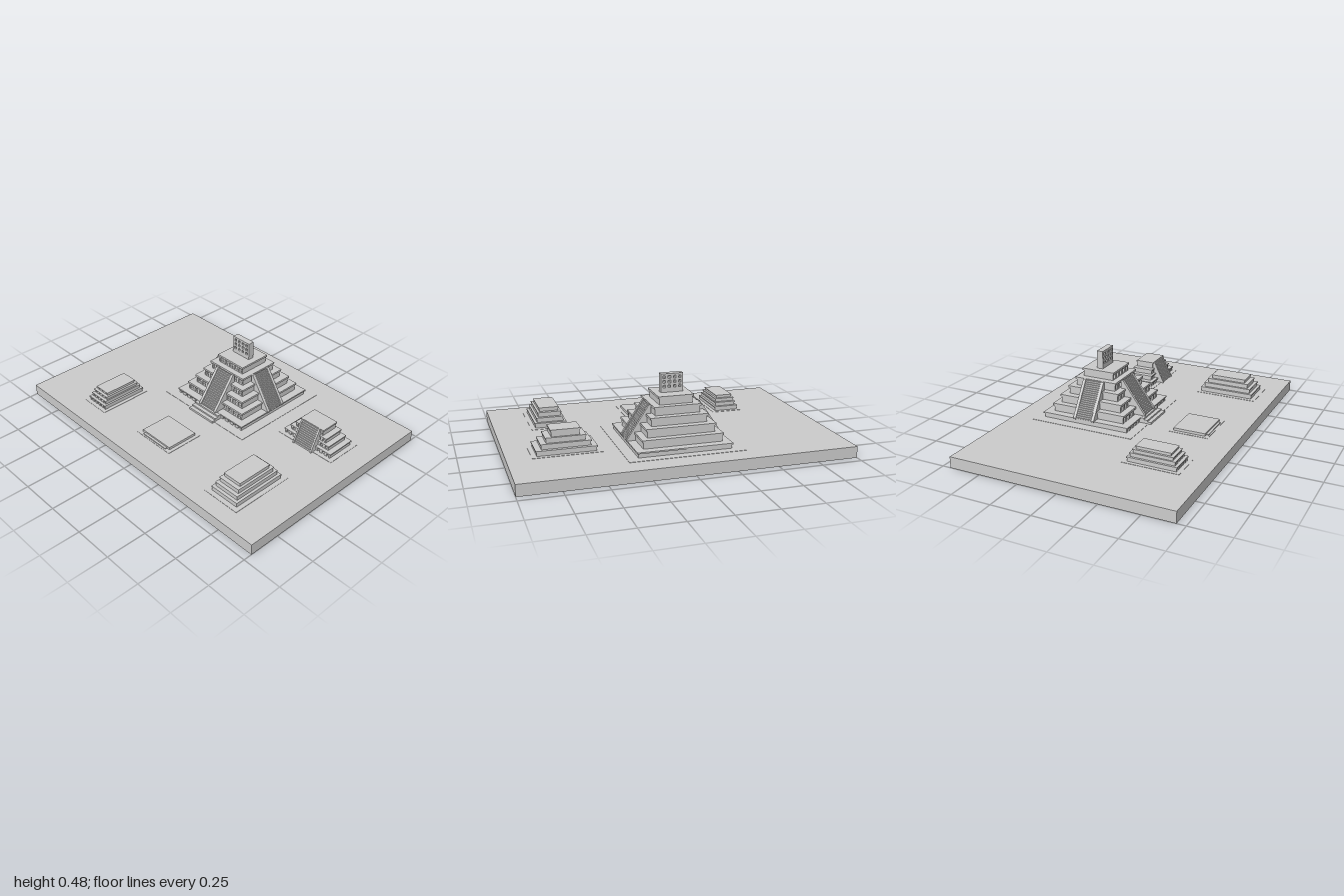
import * as THREE from 'three';

const material = new THREE.MeshStandardMaterial({ color: 0xcccccc, flatShading: true });
const GROUND = 0.07;

function add(parent, name, geometry) {
  const mesh = new THREE.Mesh(geometry, material);
  mesh.name = name;
  parent.add(mesh);
  return mesh;
}

// Box given by its two opposite corners
function block(parent, name, x0, x1, y0, y1, z0, z1) {
  const mesh = add(parent, name, new THREE.BoxGeometry(x1 - x0, y1 - y0, z1 - z0));
  mesh.position.set((x0 + x1) / 2, (y0 + y1) / 2, (z0 + z1) / 2);
  return mesh;
}

function rectangle(hx, y0, y1) {
  return new THREE.Shape([[-hx, y0], [hx, y0], [hx, y1], [-hx, y1]].map(p => new THREE.Vector2(...p)));
}

// Wall pierced by a row of round-headed niches
function arcade(hx, height, spacing, depth) {
  const wall = rectangle(hx, 0, height);
  const count = Math.max(2, Math.round(2 * hx / spacing));
  const pitch = 2 * hx / count;
  const r = Math.min(pitch * 0.3, height * 0.35);
  const spring = height * 0.88 - r;
  for (let i = 0; i < count; i++) {
    const cx = -hx + (i + 0.5) * pitch;
    const hole = new THREE.Path();
    hole.moveTo(cx - r, height * 0.06);
    hole.lineTo(cx + r, height * 0.06);
    hole.lineTo(cx + r, spring);
    hole.absarc(cx, spring, r, 0, Math.PI, false);
    hole.closePath();
    wall.holes.push(hole);
  }
  return new THREE.ExtrudeGeometry(wall, { depth, bevelEnabled: false, curveSegments: 6 });
}

// Stacked terraces: each level is [half width, half depth, top height, niche spacing or 0]
function terraces(name, levels, lip, niche) {
  const group = new THREE.Group();
  group.name = name;
  let y = GROUND;
  for (const [hx, hz, top, spacing] of levels) {
    const bx = hx - lip, bz = hz - lip;
    const cap = (top - y) * 0.24;
    const inset = spacing ? niche : 0;
    block(group, 'terraceBody', -bx, bx, y, top - cap, -bz, bz - inset);
    block(group, 'terraceCornice', -hx, hx, top - cap, top, -hz, hz);
    if (spacing) {
      add(group, 'nicheWall', arcade(bx, top - cap - y, spacing, niche)).position.set(0, y, bz - niche);
    }
    y = top;
  }
  return group;
}

// Staircase climbing toward -z from its foot at the origin, with sloping side walls
function staircase(halfWidth, wall, run, rise, steps) {
  const group = new THREE.Group();
  group.name = 'staircase';
  const profile = new THREE.Shape();
  profile.moveTo(0, 0);
  for (let i = 0; i < steps; i++) {
    profile.lineTo(run * i / steps, rise * (i + 1) / steps);
    profile.lineTo(run * (i + 1) / steps, rise * (i + 1) / steps);
  }
  profile.lineTo(run, 0);
  const flank = new THREE.Shape();
  flank.moveTo(-0.006, 0);
  flank.lineTo(-0.006, 0.008);
  flank.lineTo(run - 0.006, rise + 0.003);
  flank.lineTo(run + 0.006, rise + 0.003);
  flank.lineTo(run + 0.006, 0);
  const slab = (name, shape, depth, x) => {
    const geometry = new THREE.ExtrudeGeometry(shape, { depth, bevelEnabled: false });
    geometry.rotateY(Math.PI / 2);
    add(group, name, geometry).position.x = x;
  };
  slab('stairSteps', profile, 2 * halfWidth, -halfWidth);
  slab('stairSideWall', flank, wall, halfWidth);
  slab('stairSideWall', flank, wall, -halfWidth - wall);
  return group;
}

// Pierced crest with a grid of through windows
function roofComb() {
  const wall = rectangle(0.069, 0, 0.113);
  for (let row = 0; row < 3; row++) {
    for (let col = 0; col < 4; col++) {
      const x = (col - 1.5) * 0.032, y = 0.036 + row * 0.028;
      wall.holes.push(new THREE.Path([[-1, -1], [-1, 1], [1, 1], [1, -1]].map(
        ([a, b]) => new THREE.Vector2(x + a * 0.008, y + b * 0.008))));
    }
  }
  return new THREE.ExtrudeGeometry(wall, { depth: 0.04, bevelEnabled: false });
}

function greatPyramid() {
  const pyramid = terraces('greatPyramid', [
    [0.29, 0.292, 0.105, 0.045],
    [0.247, 0.247, 0.157, 0.045],
    [0.213, 0.212, 0.21, 0.045],
    [0.177, 0.174, 0.262, 0.045],
    [0.145, 0.14, 0.315, 0.045],
    [0.109, 0.109, 0.367, 0.045],
  ], 0.007, 0.012);
  add(pyramid, 'roofComb', roofComb()).position.set(0, 0.367, -0.025);

  const front = staircase(0.057, 0.017, 0.15, 0.212, 20);
  front.position.set(0, 0.1, 0.3);
  pyramid.add(front);
  for (const side of [-1, 1]) {
    const flight = staircase(0.053, 0.018, 0.137, 0.212, 20);
    flight.position.set(side * 0.289, 0.1, -0.005);
    flight.rotation.y = side * Math.PI / 2;
    pyramid.add(flight);
  }
  // Broad entrance steps
  for (let i = 0; i < 3; i++) {
    block(pyramid, 'entranceStep', -0.105, 0.105, GROUND, 0.083 + i * 0.01, 0.28, 0.362 - i * 0.024);
  }
  block(pyramid, 'pyramidPavement', -0.35, 0.35, GROUND, GROUND + 0.002, -0.34, 0.345);
  pyramid.position.z = -0.225;
  return pyramid;
}

export function createModel() {
  const model = new THREE.Group();
  model.name = 'ceremonialPlaza';
  block(model, 'groundSlab', -1, 1, 0, GROUND, -0.697, 0.697);
  model.add(greatPyramid());

  // Side temple with its own front stair
  const temple = terraces('sideTemple', [
    [0.18, 0.098, 0.103, 0.035],
    [0.15, 0.08, 0.135, 0.035],
    [0.12, 0.07, 0.168, 0.035],
    [0.088, 0.062, 0.21, 0.035],
  ], 0.005, 0.008);
  const flight = staircase(0.062, 0.01, 0.066, 0.137, 12);
  flight.position.set(-0.005, GROUND, 0.13);
  temple.add(flight);
  block(temple, 'templePavement', -0.205, 0.205, GROUND, GROUND + 0.002, -0.12, 0.12);
  temple.position.set(0.65, 0, -0.222);
  model.add(temple);

  // Plain stepped mound
  const mound = terraces('steppedMound', [
    [0.1, 0.177, 0.102, 0],
    [0.086, 0.16, 0.131, 0],
    [0.075, 0.14, 0.16, 0],
    [0.063, 0.117, 0.184, 0],
  ], 0.003, 0);
  block(mound, 'moundPavement', -0.125, 0.125, GROUND, GROUND + 0.002, -0.205, 0.205);
  mound.position.set(0.65, 0, 0.383);
  model.add(mound);

  // Small niched shrine
  const shrine = terraces('smallShrine', [
    [0.081, 0.154, 0.1, 0.03],
    [0.071, 0.14, 0.125, 0.03],
    [0.066, 0.125, 0.147, 0.03],
    [0.056, 0.11, 0.166, 0.03],
  ], 0.004, 0.008);
  block(shrine, 'shrinePavement', -0.1, 0.1, GROUND, GROUND + 0.002, -0.175, 0.175);
  shrine.position.set(-0.54, 0, 0.38);
  model.add(shrine);

  // Low central platform with a shallow front step
  const platform = new THREE.Group();
  platform.name = 'lowPlatform';
  block(platform, 'platformSlab', -0.122, 0.122, GROUND, GROUND + 0.018, 0.295, 0.5);
  block(platform, 'platformStep', -0.1, 0.1, GROUND, GROUND + 0.008, 0.5, 0.515);
  block(platform, 'platformPavement', -0.145, 0.145, GROUND, GROUND + 0.002, 0.275, 0.525);
  model.add(platform);

  return model;
}
